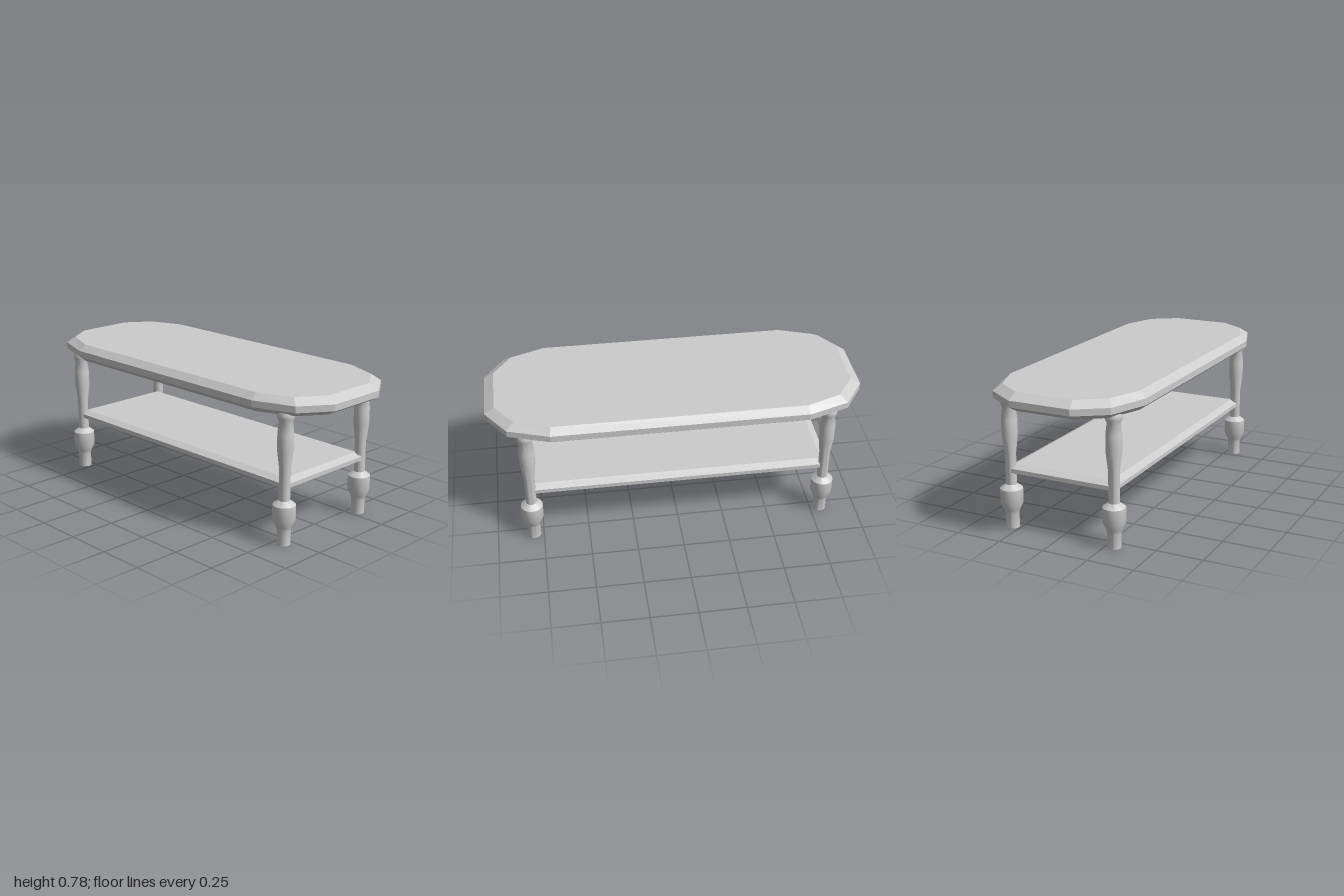
import * as THREE from 'three';
import { toCreasedNormals } from 'three/addons/utils/BufferGeometryUtils.js';

// Mirror the corner points of one quadrant into a full loop [x, z]
function fullLoop(q) {
  const r = [...q].reverse();
  return [
    ...q,
    ...r.map(([x, z]) => [-x, z]),
    ...q.map(([x, z]) => [-x, -z]),
    ...r.map(([x, z]) => [x, -z]),
  ];
}

// Faceted board with bevelled upper and lower rims
function bevelledBoard(outer, inner, [y0, y1, y2, y3]) {
  const o = fullLoop(outer), i = fullLoop(inner);
  const rings = [[i, y0], [o, y1], [o, y2], [i, y3]]
    .map(([loop, y]) => loop.map(([x, z]) => [x, y, z]));
  const n = o.length, pos = [];
  const tri = (a, b, c) => pos.push(...a, ...b, ...c);
  for (let k = 0; k < 3; k++) {
    for (let j = 0; j < n; j++) {
      const a = rings[k][j], b = rings[k][(j + 1) % n];
      const c = rings[k + 1][(j + 1) % n], d = rings[k + 1][j];
      tri(a, c, b);
      tri(a, d, c);
    }
  }
  for (let j = 0; j < n; j++) {
    const m = (j + 1) % n;
    tri([0, y0, 0], rings[0][j], rings[0][m]);
    tri([0, y3, 0], rings[3][m], rings[3][j]);
  }
  const g = new THREE.BufferGeometry();
  g.setAttribute('position', new THREE.Float32BufferAttribute(pos, 3));
  g.computeVertexNormals();
  return g;
}

export function createModel() {
  const table = new THREE.Group();
  table.name = 'coffeeTable';
  const grey = new THREE.MeshStandardMaterial({ color: 0xcccccc });
  grey.name = 'plain grey';

  const add = (name, geometry) => {
    const mesh = new THREE.Mesh(geometry, grey);
    mesh.name = name;
    table.add(mesh);
    return mesh;
  };

  // Table top with clipped, rounded-off ends
  add('tableTop', bevelledBoard(
    [[1, 0.167], [0.89, 0.329], [0.673, 0.404]],
    [[0.948, 0.157], [0.85, 0.297], [0.667, 0.366]],
    [0.681, 0.711, 0.745, 0.777]));

  // Lower shelf, its corners let into the legs
  add('shelf', bevelledBoard(
    [[0.826, 0.313]], [[0.788, 0.275]],
    [0.284, 0.303, 0.325, 0.343]));

  // Turned leg: foot, bulb, neck, baluster and collar
  const profile = [
    [0, 0], [0.036, 0], [0.036, 0.08], [0.042, 0.098], [0.059, 0.135],
    [0.059, 0.213], [0.029, 0.236], [0.029, 0.4], [0.041, 0.5],
    [0.041, 0.585], [0.034, 0.643], [0.043, 0.664], [0.043, 0.684],
    [0.036, 0.7], [0, 0.7],
  ].map(([r, y]) => new THREE.Vector2(r, y));
  const legGeometry = toCreasedNormals(new THREE.LatheGeometry(profile, 24), 0.6);

  for (const [sx, side] of [[1, 'Left'], [-1, 'Right']]) {
    for (const [sz, end] of [[1, 'front'], [-1, 'back']]) {
      add(`${end}${side}Leg`, legGeometry).position.set(sx * 0.802, 0, sz * 0.296);
    }
  }
  return table;
}
